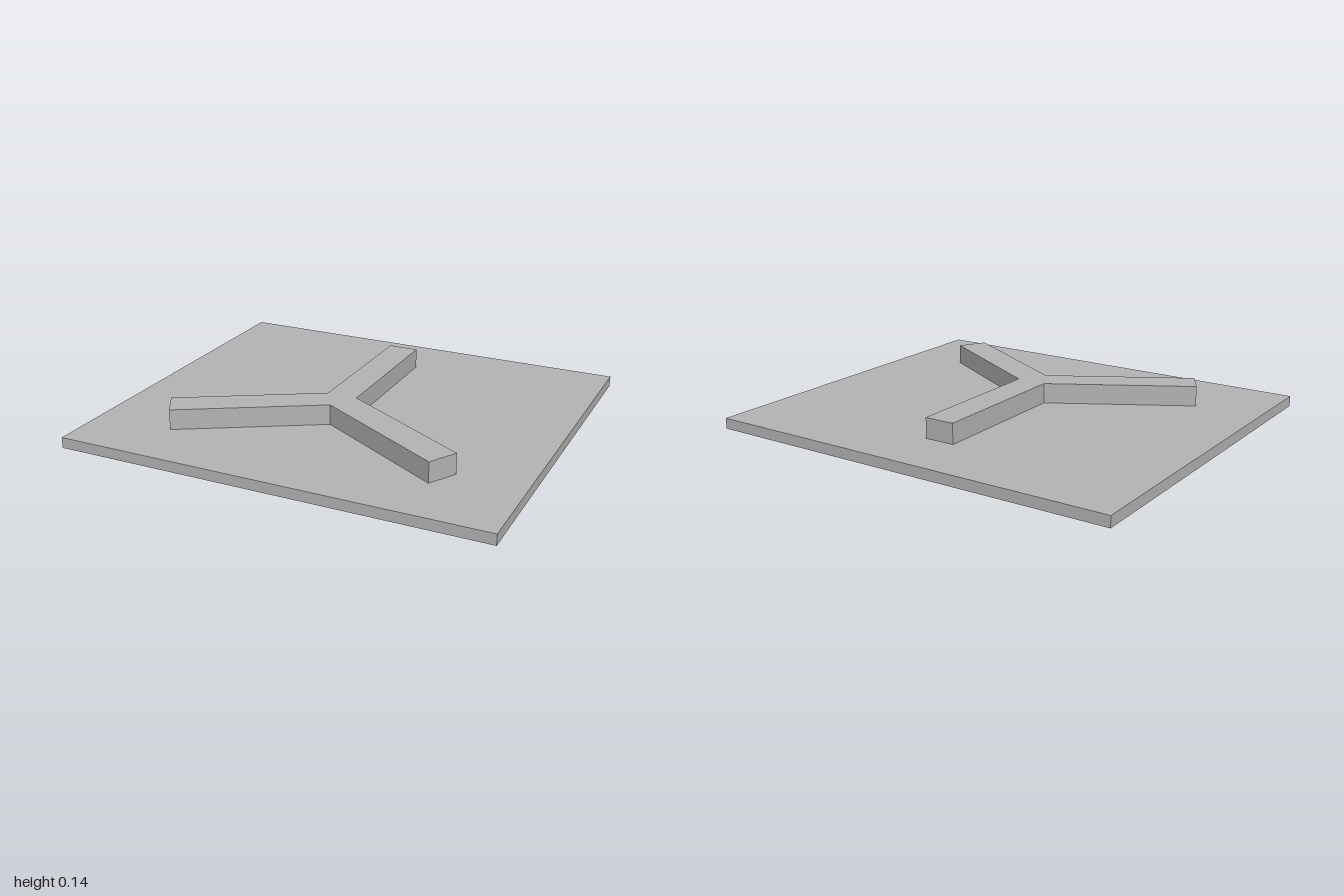
import * as THREE from 'three';

export function createModel() {
  const group = new THREE.Group();
  const grey = new THREE.MeshStandardMaterial({ color: 0xb4b4b4 });
  grey.name = 'plain grey';

  // Flat base plate
  const baseHeight = 0.05;
  const base = new THREE.Mesh(new THREE.BoxGeometry(2, baseHeight, 1.76), grey);
  base.name = 'basePlate';
  base.position.y = baseHeight / 2;
  group.add(base);

  // Raised three-armed ridge, one outline made by turning a single arm
  const halfWidth = 0.072, armLength = 0.755, ridgeHeight = 0.095;
  const arm = [
    [halfWidth, halfWidth / Math.sqrt(3)], // inner corner shared with the next arm
    [halfWidth, armLength],
    [-halfWidth, armLength],
  ];
  const outline = [];
  for (let i = 0; i < 3; i++) {
    for (const [x, y] of arm) {
      outline.push(new THREE.Vector2(x, y).rotateAround(new THREE.Vector2(), (i * Math.PI * 2) / 3));
    }
  }
  const ridgeGeometry = new THREE.ExtrudeGeometry(new THREE.Shape(outline), {
    depth: ridgeHeight,
    bevelEnabled: false,
  });
  ridgeGeometry.rotateX(-Math.PI / 2);
  const ridge = new THREE.Mesh(ridgeGeometry, grey);
  ridge.name = 'threeArmedRidge';
  ridge.position.set(0, baseHeight, 0.165);
  group.add(ridge);

  return group;
}
